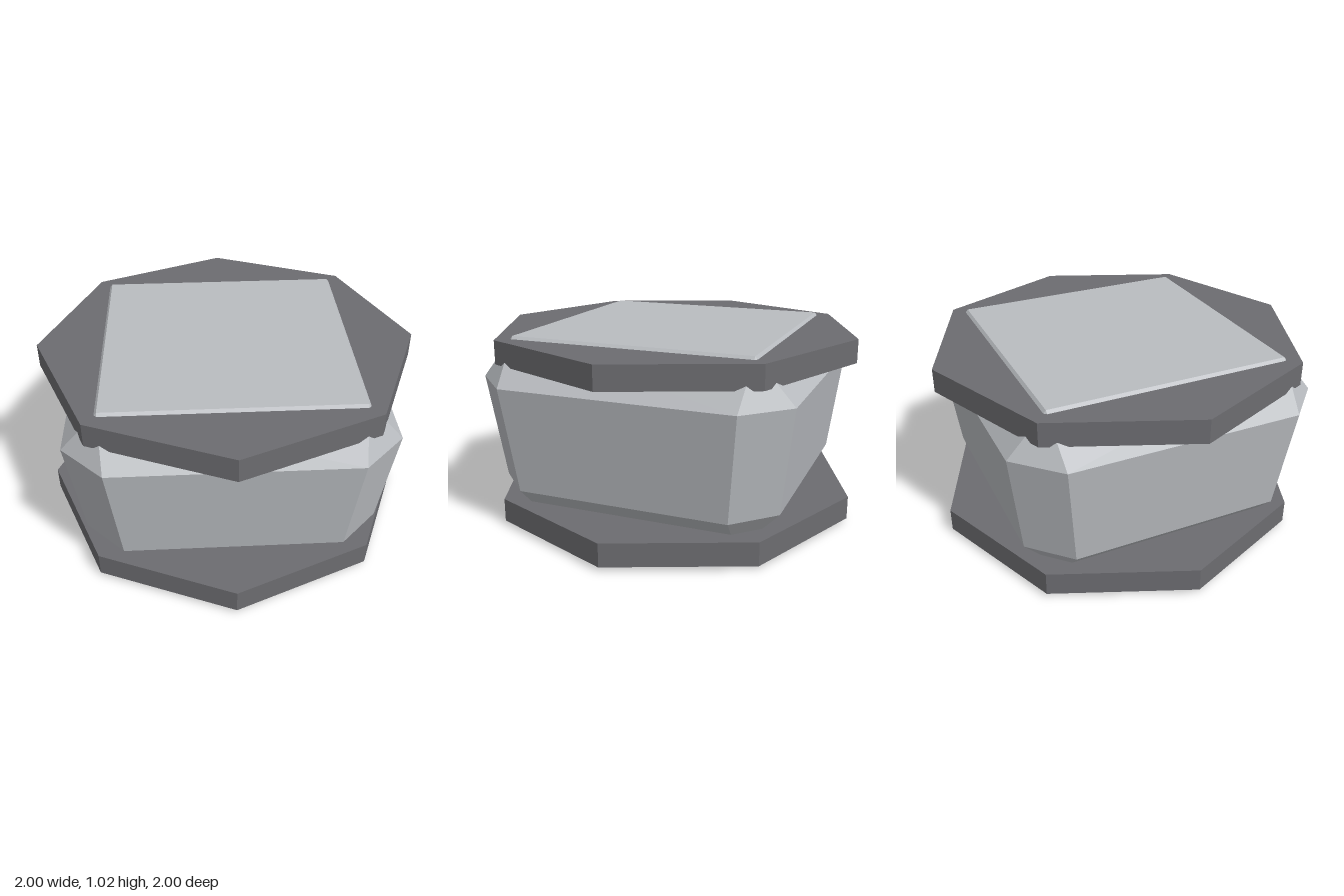
import * as THREE from 'three';
import { ConvexGeometry } from 'three/addons/geometries/ConvexGeometry.js';

export function createModel() {
  const model = new THREE.Group();
  const paleMetal = new THREE.MeshStandardMaterial({ color: 0xb9bcc0 });
  const darkMetal = new THREE.MeshStandardMaterial({ color: 0x6c6c70 });
  paleMetal.name = 'paleMetal';
  darkMetal.name = 'darkMetal';

  // Tapered block with bevelled edges, mirrored into all four corners
  const corner = [
    [0.54, 0, 0.54],
    [0.565, 0.235, 0.765], [0.765, 0.235, 0.565],
    [0.62, 0.795, 0.835], [0.835, 0.795, 0.62],
    [0.64, 1.025, 0.64],
  ];
  const points = [];
  for (const sx of [-1, 1]) {
    for (const sz of [-1, 1]) {
      for (const [x, y, z] of corner) points.push(new THREE.Vector3(x * sx, y, z * sz));
    }
  }
  const body = new THREE.Mesh(new ConvexGeometry(points), paleMetal);
  body.name = 'body';
  model.add(body);

  // Octagonal plates around the bottom and the top, each with a corner on every axis
  const plate = new THREE.CylinderGeometry(1, 1, 0.125, 8).toNonIndexed();
  plate.computeVertexNormals();
  for (const [name, y] of [['lowerPlate', 0.0825], ['upperPlate', 0.9475]]) {
    const mesh = new THREE.Mesh(plate, darkMetal);
    mesh.name = name;
    mesh.position.y = y;
    model.add(mesh);
  }
  return model;
}
